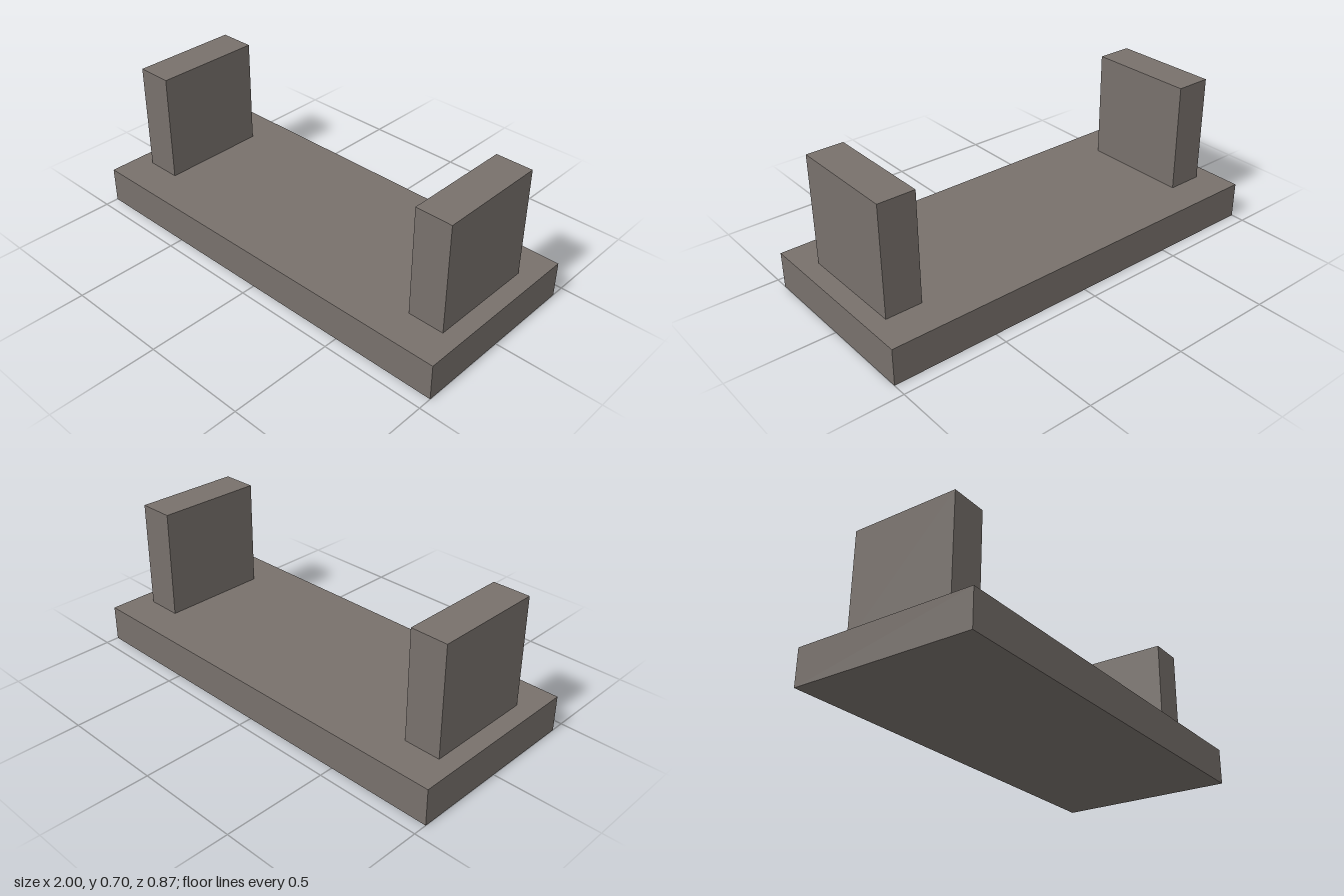
import * as THREE from 'three';

export function createModel() {
  const model = new THREE.Group();
  model.name = 'bench';
  const material = new THREE.MeshStandardMaterial({ color: 0x78716c, flatShading: true });

  // Box standing on height y
  const addBox = (name, w, h, d, x, y) => {
    const mesh = new THREE.Mesh(new THREE.BoxGeometry(w, h, d), material);
    mesh.name = name;
    mesh.position.set(x, y + h / 2, 0);
    model.add(mesh);
  };

  // Wide flat slab
  const slabHeight = 0.174;
  addBox('slab', 2, slabHeight, 0.87, 0, 0);

  // Mirrored upright at each end
  for (const [name, side] of [['leftUpright', 1], ['rightUpright', -1]]) {
    addBox(name, 0.174, 0.522, 0.522, side * 0.826, slabHeight);
  }

  return model;
}
